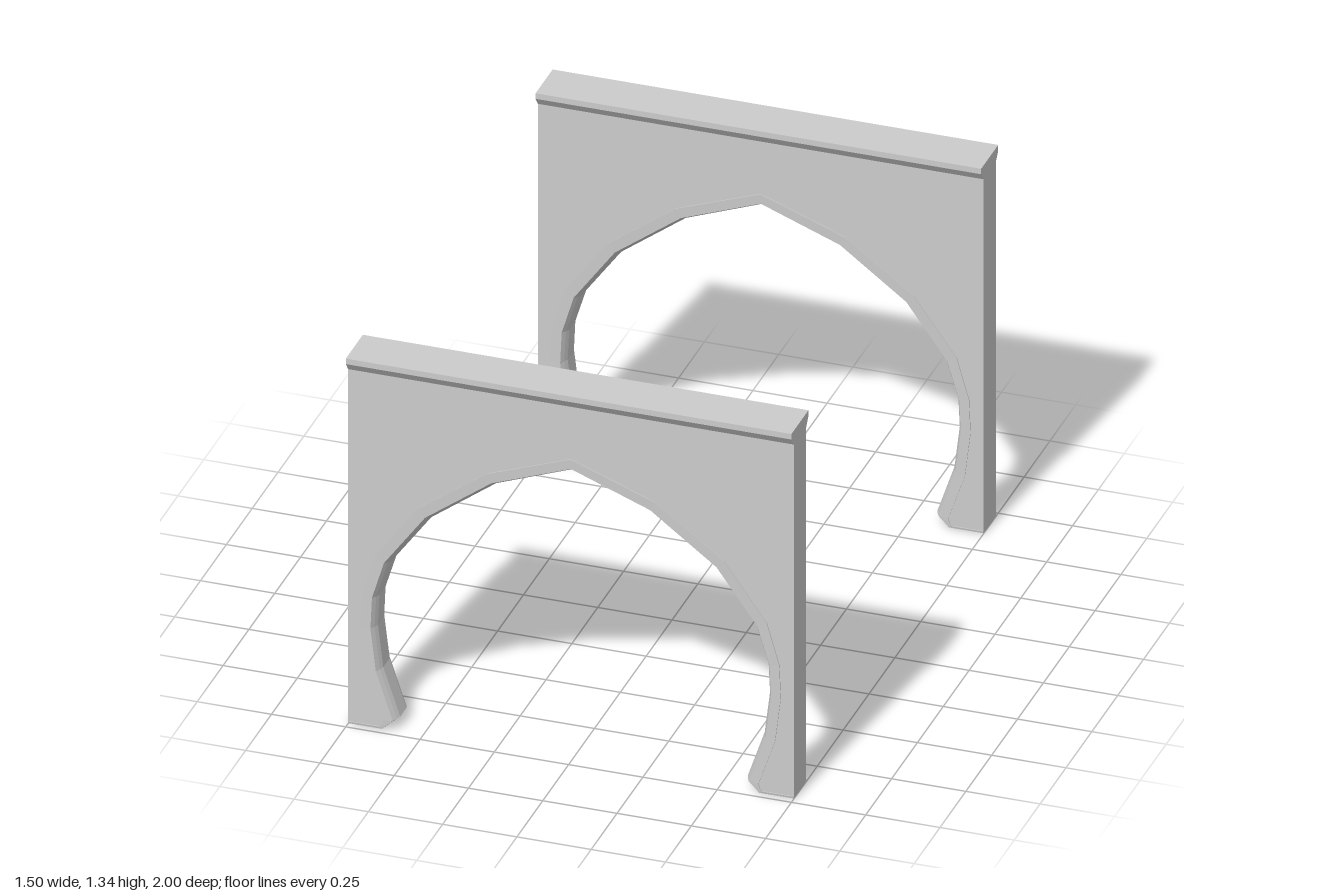
import * as THREE from 'three';

const material = new THREE.MeshStandardMaterial({ color: 0xcccccc, flatShading: true, side: THREE.DoubleSide });
const HALF_WIDTH = 0.75, HALF_DEPTH = 0.06, WALL_TOP = 1.29;

// Right half of the opening, apex to foot, and the outer line of its trim.
const inner = [[0, 1.05], [0.26, 0.95], [0.48, 0.785], [0.615, 0.6], [0.655, 0.47], [0.66, 0.36],
  [0.642, 0.21], [0.585, 0.04], [0.61, 0.02], [0.63, 0], [HALF_WIDTH, 0]];
const outer = [[0, 1.1], [0.285, 0.995], [0.515, 0.825], [0.66, 0.625], [0.702, 0.48], [0.707, 0.36],
  [0.688, 0.2], [0.632, 0.035], [0.636, 0.02], [0.642, 0.01], [HALF_WIDTH, 0.01]];

// Mirrors a half line into a full one running from the left foot to the right.
const mirrored = (half) => [...half.slice(1).reverse().map(([x, y]) => [-x, y]), ...half];

function extrude(points, depth) {
  const shape = new THREE.Shape(points.map(([x, y]) => new THREE.Vector2(x, y)));
  const geometry = new THREE.ExtrudeGeometry(shape, { depth, bevelEnabled: false });
  return geometry.translate(0, 0, -depth / 2);
}

// Trim section swept along the opening: [share of the way to the outer line, z].
function trimGeometry() {
  const half = [[1, 0.055], [1, 0.0635], [0.3, 0.062], [0.12, 0.046], [0, 0.03]];
  const section = [...half, ...half.slice().reverse().map(([t, z]) => [t, -z])];
  const a = mirrored(inner), b = mirrored(outer);
  const positions = [], index = [], n = section.length;
  a.forEach(([x, y], i) => {
    for (const [t, z] of section) {
      positions.push(x + (b[i][0] - x) * t, y + (b[i][1] - y) * t, z);
    }
  });
  for (let i = 0; i < a.length - 1; i++) {
    for (let j = 0; j < n - 1; j++) {
      const p = i * n + j, q = p + n;
      index.push(p, p + 1, q, p + 1, q + 1, q);
    }
  }
  // Close the two ends at the outer faces of the feet.
  const last = (a.length - 1) * n;
  for (let j = 1; j < n - 1; j++) {
    index.push(0, j + 1, j, last, last + j, last + j + 1);
  }
  const geometry = new THREE.BufferGeometry();
  geometry.setAttribute('position', new THREE.Float32BufferAttribute(positions, 3));
  geometry.setIndex(index);
  const flat = geometry.toNonIndexed();
  flat.computeVertexNormals();
  return flat;
}

function createArch(name) {
  const arch = new THREE.Group();
  arch.name = name;
  const add = (partName, geometry) => {
    const mesh = new THREE.Mesh(geometry, material);
    mesh.name = partName;
    arch.add(mesh);
  };

  // Wall around the opening
  add('wall', extrude([...mirrored(outer), [HALF_WIDTH, WALL_TOP], [-HALF_WIDTH, WALL_TOP]], HALF_DEPTH * 2));

  // Moulded edge of the opening
  add('archTrim', trimGeometry());

  // Flared cornice along the top
  const cornice = [[HALF_DEPTH, WALL_TOP], [0.0825, 1.32], [0.0825, 1.34]];
  const profile = [...cornice, ...cornice.slice().reverse().map(([z, y]) => [-z, y])];
  add('cornice', extrude(profile, HALF_WIDTH * 2).rotateY(Math.PI / 2));
  return arch;
}

export function createModel() {
  const model = new THREE.Group();
  model.name = 'archPair';
  for (const [name, z] of [['frontArch', 0.9175], ['backArch', -0.9175]]) {
    const arch = createArch(name);
    arch.position.z = z;
    model.add(arch);
  }
  return model;
}
